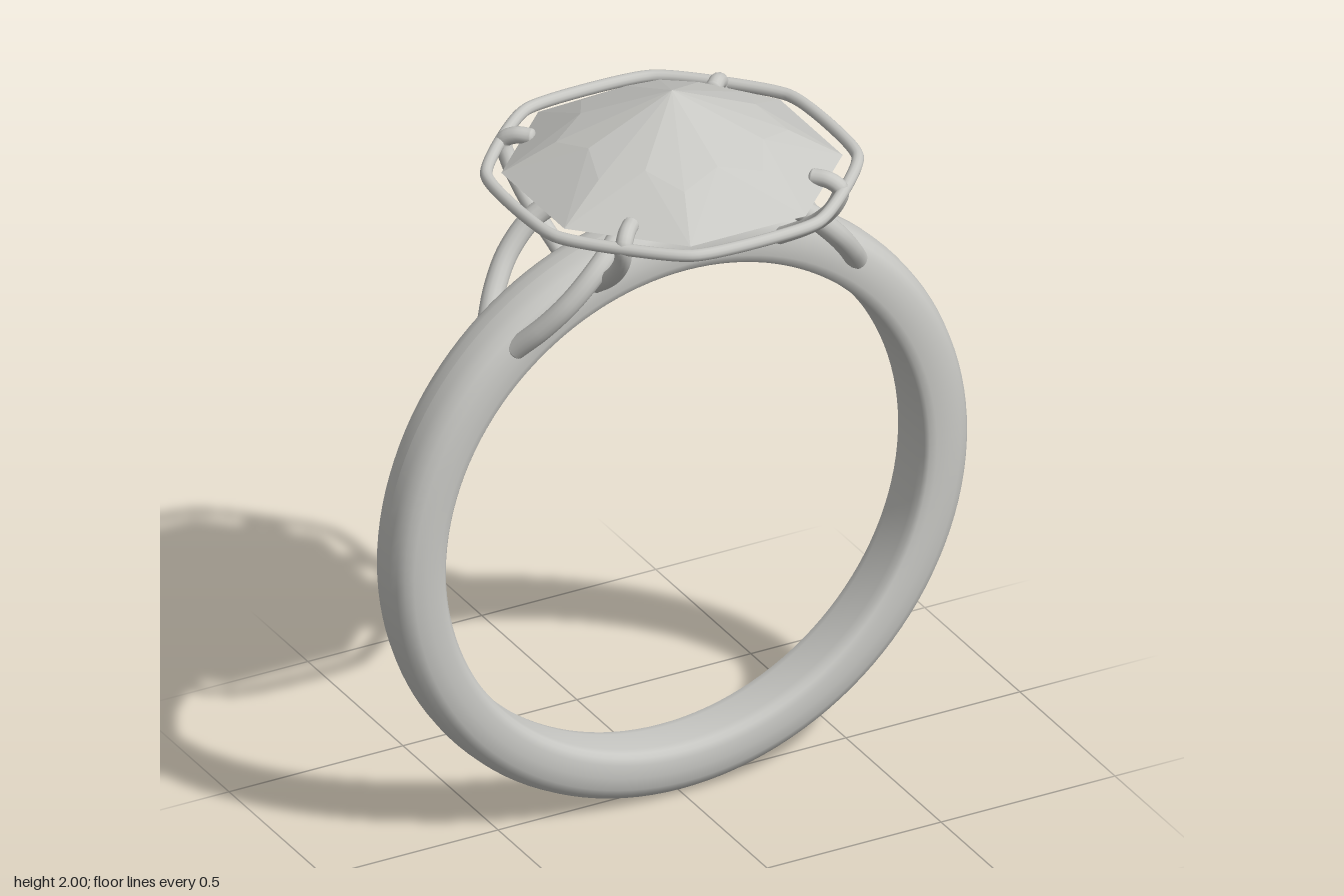
import * as THREE from 'three';

const metal = new THREE.MeshStandardMaterial({ color: 0xc8c8c4 });
metal.name = 'pale metal';

function add(parent, name, geometry) {
  const mesh = new THREE.Mesh(geometry, metal);
  mesh.name = name;
  parent.add(mesh);
  return mesh;
}

// Round wire through points, with rounded tips
function wire(parent, name, points, radius) {
  const group = new THREE.Group();
  group.name = name;
  const curve = new THREE.CatmullRomCurve3(points.map(p => new THREE.Vector3(...p)));
  add(group, name + 'Wire', new THREE.TubeGeometry(curve, 40, radius, 14));
  for (const t of [0, 1]) {
    const tip = add(group, name + 'Tip', new THREE.SphereGeometry(radius, 14, 10));
    tip.position.copy(curve.getPoint(t));
    tip.quaternion.setFromUnitVectors(new THREE.Vector3(0, 1, 0), curve.getTangent(t));
    tip.scale.y = 0.5;
  }
  parent.add(group);
}

// Finger band: domed section, a little wider at the top
function bandGeometry() {
  const half = [[0.829, 0], [0.827, 0.03], [0.82, 0.055], [0.806, 0.075], [0.785, 0.087],
    [0.75, 0.093], [0.715, 0.091], [0.697, 0.085], [0.688, 0.074], [0.685, 0.05], [0.684, 0]];
  const section = [
    ...half,
    ...half.slice(0, -1).reverse().map(([r, z]) => [r, -z]),
  ].map(p => new THREE.Vector2(...p));
  const g = new THREE.LatheGeometry(section, 128);
  g.rotateX(Math.PI / 2);
  const pos = g.attributes.position;
  for (let i = 0; i < pos.count; i++) {
    pos.setZ(i, pos.getZ(i) * (0.94 + 0.1 * pos.getY(i)));
  }
  return g;
}

// Faceted octagonal stone with a flat underside
function stoneGeometry() {
  const at = (k, r, y) => {
    const a = k * Math.PI / 8;
    return [r * Math.sin(a), y, r * Math.cos(a)];
  };
  const apex = [0, 2, 0], centre = [0, 1.787, 0];
  const mid = k => (k % 2 ? at(k, 0.295, 1.868) : at(k, 0.24, 1.896));
  const rim = k => at(k, 0.433, 1.787);
  const v = [];
  const tri = (...corners) => corners.forEach(c => v.push(...c));
  for (let k = 0; k < 16; k++) {
    tri(apex, mid(k), mid(k + 1));
    if (k % 2) {
      tri(mid(k), rim(k), mid(k + 1));
    } else {
      tri(mid(k), rim(k - 1), rim(k + 1));
      tri(mid(k), rim(k + 1), mid(k + 1));
      tri(centre, rim(k + 1), rim(k - 1));
    }
  }
  const g = new THREE.BufferGeometry();
  g.setAttribute('position', new THREE.Float32BufferAttribute(v, 3));
  g.computeVertexNormals();
  return g;
}

// Octagonal wire frame with softened corners
function frameGeometry() {
  const points = [];
  const corner = k => {
    const a = (k + 0.5) * Math.PI / 4, r = 0.443 / Math.cos(Math.PI / 8);
    return new THREE.Vector3(r * Math.sin(a), 1.782, r * Math.cos(a));
  };
  for (let k = 0; k < 8; k++) {
    const c = corner(k);
    points.push(c.clone().lerp(corner(k - 1), 0.09), c.clone().lerp(corner(k + 1), 0.09));
  }
  const curve = new THREE.CatmullRomCurve3(points, true);
  return new THREE.TubeGeometry(curve, 192, 0.016, 12, true);
}

export function createModel() {
  const ring = new THREE.Group();
  ring.name = 'ring';
  add(ring, 'band', bandGeometry()).position.y = 0.829;
  add(ring, 'stone', stoneGeometry());
  add(ring, 'stoneFrame', frameGeometry());

  // Four prongs hooked over the frame, four curled shoulder wires
  const prong = [[0.262, 1.808, 0.262], [0.29, 1.806, 0.292], [0.312, 1.785, 0.316], [0.306, 1.735, 0.3],
    [0.295, 1.67, 0.245], [0.28, 1.61, 0.17], [0.264, 1.55, 0.082]];
  const shoulder = [[0.49, 1.42, 0.072], [0.44, 1.49, 0.125], [0.38, 1.565, 0.16],
    [0.3, 1.645, 0.162], [0.2, 1.705, 0.11], [0.12, 1.728, 0.042]];
  for (const sx of [1, -1]) {
    for (const sz of [1, -1]) {
      const place = (sz > 0 ? 'front' : 'back') + (sx > 0 ? 'Left' : 'Right');
      const mirror = path => path.map(([x, y, z]) => [x * sx, y, z * sz]);
      wire(ring, place + 'Prong', mirror(prong), 0.022);
      wire(ring, place + 'Shoulder', mirror(shoulder), 0.029);
    }
  }
  return ring;
}
